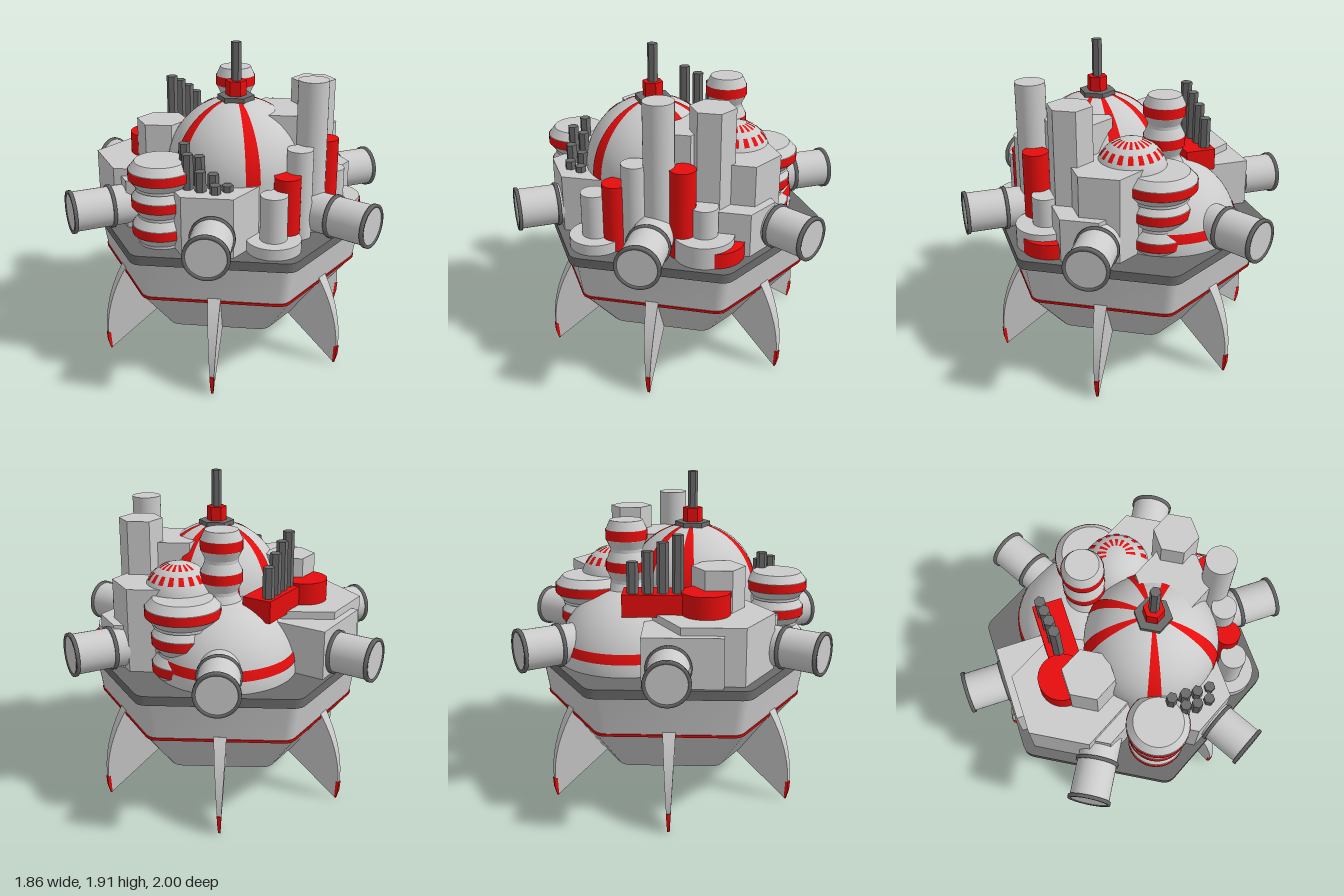
import * as THREE from 'three';
import { toCreasedNormals } from 'three/addons/utils/BufferGeometryUtils.js';

const mat = (color, flatShading = false) =>
  new THREE.MeshStandardMaterial({ color, flatShading, side: THREE.DoubleSide });
const GREY = mat(0xcccccc), RED = mat(0xe60d0d), DARK = mat(0x6a6a6a);
const GREY_FLAT = mat(0xcccccc, true), RED_FLAT = mat(0xe60d0d, true), DARK_FLAT = mat(0x6a6a6a, true);
const DECK = 0.84;
const rad = THREE.MathUtils.degToRad;

export function createModel() {
  const model = new THREE.Group();

  function add(name, geo, material, x = 0, y = 0, z = 0, parent = model) {
    const mesh = new THREE.Mesh(geo, material);
    mesh.name = name;
    mesh.position.set(x, y, z);
    parent.add(mesh);
    return mesh;
  }
  // upright round column between two heights
  const column = (name, x, z, r, y0, y1, m = GREY) =>
    add(name, new THREE.CylinderGeometry(r, r, y1 - y0, 36), m, x, (y0 + y1) / 2, z);
  // upright hexagonal prism with corners on the x axis
  const hexPrism = (name, x, z, r, y0, y1, m = GREY_FLAT) =>
    add(name, new THREE.CylinderGeometry(r, r, y1 - y0, 6).rotateY(Math.PI / 6), m, x, (y0 + y1) / 2, z);

  // rounded hexagon sections [y, apothem], bottom to top, joined into a skin
  function hexLoft(sections, fillet = 0.075) {
    const steps = 3, n = 6 * (steps + 1), pos = [], index = [];
    for (const [y, a] of sections) {
      const f = Math.min(fillet, a * 0.4);
      const c = (a - f) / Math.cos(Math.PI / 6);
      for (let k = 0; k < 6; k++) for (let s = 0; s <= steps; s++) {
        const corner = k * Math.PI / 3, t = corner + (s / steps - 0.5) * Math.PI / 3;
        pos.push(c * Math.cos(corner) + f * Math.cos(t), y, c * Math.sin(corner) + f * Math.sin(t));
      }
    }
    for (let i = 0; i < sections.length - 1; i++) for (let j = 0; j < n; j++) {
      const a = i * n + j, b = i * n + (j + 1) % n;
      index.push(a, a + n, b, b, a + n, b + n);
    }
    const geo = new THREE.BufferGeometry();
    geo.setAttribute('position', new THREE.Float32BufferAttribute(pos, 3));
    geo.setIndex(index);
    return toCreasedNormals(geo, 0.4);
  }

  // hull, stripe and deck rim
  add('hull', hexLoft([[0.12, 0.001], [0.12, 0.21], [0.25, 0.485], [0.53, 0.69], [0.79, 0.728]]), GREY);
  add('hullStripe', hexLoft([[0.53, 0.687], [0.53, 0.696], [0.546, 0.698], [0.546, 0.687]]), RED);
  add('deckRim', hexLoft([[0.785, 0.001], [0.785, 0.772], [DECK, 0.772], [DECK, 0.001]]), DARK);

  // fin outline extruded, then tapered thinner towards the tip
  function finGeometry(shape, extra = 0) {
    const geo = new THREE.ExtrudeGeometry(shape, { depth: 2, bevelEnabled: false, curveSegments: 12 });
    const p = geo.attributes.position;
    for (let i = 0; i < p.count; i++)
      p.setZ(i, (p.getZ(i) - 1) * (0.006 + 0.055 * p.getY(i) + extra));
    return toCreasedNormals(geo, 0.5);
  }
  const finShape = new THREE.Shape();
  finShape.moveTo(0.66, 0.56);
  finShape.lineTo(0.46, 0.25);
  finShape.lineTo(0.805, 0);
  finShape.bezierCurveTo(0.83, 0.12, 0.84, 0.32, 0.695, 0.56);
  const finGeo = finGeometry(finShape);
  const tipShape = new THREE.Shape([[0.797, 0.005], [0.806, 0], [0.822, 0.06], [0.825, 0.12], [0.805, 0.12]]
    .map(([x, y]) => new THREE.Vector2(x, y)));
  const tipGeo = finGeometry(tipShape, 0.001);

  // six fins and six side ports, one pair on each flat of the hull
  const tubeGeo = new THREE.CylinderGeometry(0.118, 0.118, 0.49, 36).rotateZ(-Math.PI / 2);
  const ringGeo = new THREE.LatheGeometry([[0.11, -0.01], [0.128, -0.01], [0.128, 0.01], [0.11, 0.01], [0.11, -0.01]]
    .map(([r, y]) => new THREE.Vector2(r, y)), 36).rotateZ(-Math.PI / 2);
  for (let k = 0; k < 6; k++) {
    const arm = new THREE.Group();
    arm.name = 'finAndPort';
    arm.rotation.y = -rad(30 + 60 * k);
    model.add(arm);
    add('fin', finGeo, GREY, 0, 0, 0, arm);
    add('finTip', tipGeo, RED, 0, 0, 0, arm);
    add('portTube', tubeGeo, GREY, 0.75, 0.962, 0, arm);
    add('portInnerRing', ringGeo, DARK, 0.76, 0.962, 0, arm);
    add('portOuterRing', ringGeo, DARK, 0.99, 0.962, 0, arm);
  }

  // patch of a sphere: heading measured from +x towards +z, polar angle from the top
  const patch = (r, heading, width, t0, t1) => new THREE.SphereGeometry(r, Math.max(3, Math.ceil(width / 6)), 24,
    Math.PI - rad(heading + width / 2), rad(width), rad(t0), rad(t1 - t0));

  // main dome with radial stripes and a mast
  const [dx, dz] = [-0.115, 0.14];
  add('mainDome', patch(0.4, 0, 360, 0, 90), GREY, dx, 1.19, dz);
  column('mainDomeWall', dx, dz, 0.4, DECK, 1.19);
  for (const heading of [-163, -86, -47, 0, 38, 130])
    add('domeStripe', patch(0.404, heading, 12, 10, 90), RED, dx, 1.19, dz);
  hexPrism('mastPlate', dx, dz, 0.108, 1.565, 1.605, DARK_FLAT);
  hexPrism('mastBase', dx, dz, 0.06, 1.605, 1.69, RED_FLAT);
  hexPrism('mast', dx, dz, 0.03, 1.69, 1.91, DARK_FLAT);

  // small dome with two rows of dashes on its outer half
  const [sx, sz] = [0.365, 0.085];
  add('smallDome', patch(0.21, 0, 360, 0, 90), GREY, sx, 1.25, sz);
  column('smallDomeWall', sx, sz, 0.21, DECK, 1.25);
  for (let h = -80; h <= 100; h += 20) {
    add('domeDash', patch(0.213, h, 10, 16, 32), RED, sx, 1.25, sz);
    add('domeDash', patch(0.213, h, 10, 43, 58), RED, sx, 1.25, sz);
  }

  // low rear dome with a band near its foot
  add('rearDome', patch(0.42, 0, 360, 0, 90), GREY, 0.27, DECK, -0.17);
  add('rearDomeBand', patch(0.424, 0, 360, 72, 80), RED, 0.27, DECK, -0.17);

  // towers of stacked bulging drums, each with a red belt
  function drumTower(x, z, radii, top, pitch) {
    radii.forEach((r, i) => {
      const y = top - i * pitch, lo = y - pitch;
      const profile = [[0, lo], [r * 0.8, lo], [r * 0.8, lo + pitch * 0.1], [r, y - pitch * 0.62],
        [r, y - pitch * 0.28], [r * 0.8, y], [0, y]].map(([a, b]) => new THREE.Vector2(a, b));
      add('towerDrum', toCreasedNormals(new THREE.LatheGeometry(profile, 36), 0.3), GREY, x, 0, z);
      add('towerBelt', new THREE.CylinderGeometry(r + 0.003, r + 0.003, pitch * 0.32, 36, 1, true),
        RED, x, y - pitch * 0.45, z);
    });
  }
  drumTower(0.5, -0.035, [0.215, 0.18, 0.18], 1.305, 0.165);
  drumTower(-0.63, 0, [0.18, 0.165, 0.165], 1.325, 0.162);
  drumTower(0.27, -0.145, [0.12, 0.12, 0.12, 0.12], 1.66, 0.185);

  // hexagonal buildings: x, z, radius, top
  for (const [x, z, r, top] of [
    [-0.24, -0.4, 0.355, 1.175], [-0.42, -0.28, 0.2, 1.13], [-0.27, -0.29, 0.155, 1.42],
    [-0.44, 0.22, 0.285, 1.185], [0.285, 0.415, 0.13, 1.66], [0.075, 0.325, 0.215, 1.52],
    [0.42, 0.245, 0.23, 1.34], [0.42, 0.36, 0.22, 1.1],
  ]) hexPrism('hexBuilding', x, z, r, DECK, top);
  add('rearBlock', new THREE.BoxGeometry(0.45, 0.29, 0.45), GREY, -0.075, DECK + 0.145, -0.525);

  // round towers along the front edge: x, z, radius, top, material
  for (const [x, z, r, top, m] of [
    [0.02, 0.575, 0.087, 1.73, GREY], [-0.115, 0.585, 0.075, 1.365, GREY], [-0.23, 0.58, 0.075, 1.235, RED],
    [-0.355, 0.575, 0.077, 1.165, GREY], [0.155, 0.59, 0.075, 1.36, RED], [0.275, 0.57, 0.077, 1.14, GREY],
    [-0.35, 0.575, 0.155, 0.905, GREY], [0.275, 0.575, 0.17, 0.97, GREY], [0.33, 0.555, 0.17, 0.93, RED],
  ]) column('frontTower', x, z, r, DECK, top, m);

  // red rear works with a row of stepped pipes
  column('rearDrum', -0.2, -0.43, 0.14, 1.15, 1.305, RED);
  add('pipeBase', new THREE.BoxGeometry(0.375, 0.13, 0.18), RED, 0.088, 1.225, -0.38);
  [1.62, 1.58, 1.53, 1.47].forEach((top, i) =>
    hexPrism('rearPipe', -0.04 + i * 0.085, -0.405 - i * 0.006, 0.034, 1.25, top, DARK_FLAT));

  // cluster of pipes on the right side: x, z, top
  for (const [x, z, top] of [[-0.545, 0.105, 1.42], [-0.6, 0.17, 1.385], [-0.53, 0.195, 1.36], [-0.59, 0.25, 1.3],
    [-0.515, 0.28, 1.27], [-0.57, 0.335, 1.235], [-0.5, 0.365, 1.22]])
    hexPrism('sidePipe', x, z, 0.032, 1.1, top, DARK_FLAT);

  return model;
}
